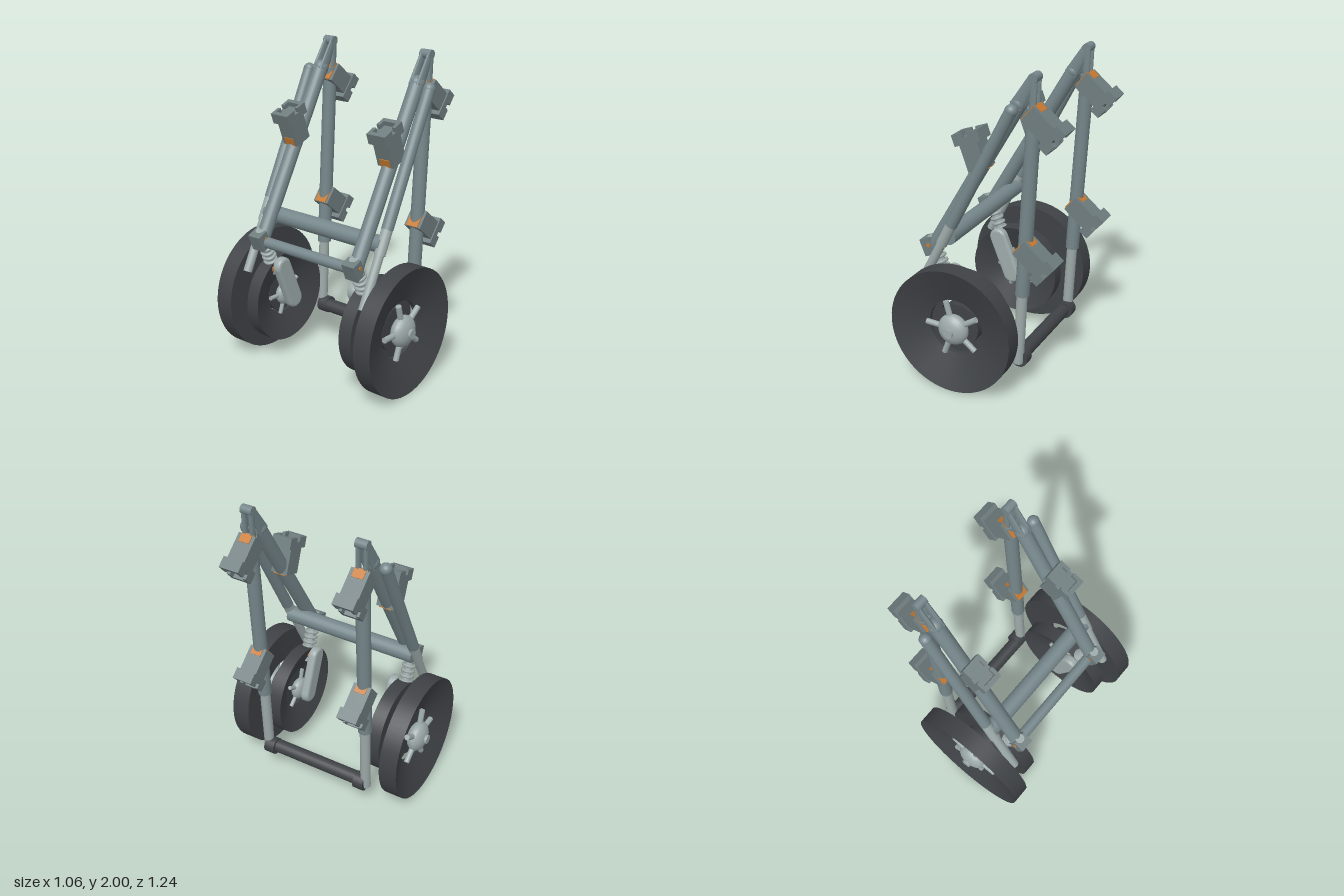
import * as THREE from 'three';

const mat = (name, color) => {
  const m = new THREE.MeshStandardMaterial({ color });
  m.name = name;
  return m;
};

export function createModel() {
  const model = new THREE.Group();
  model.name = 'landingGear';
  const steel = mat('steel', 0x75868a);
  const plate = mat('bracketGrey', 0x6f7d7f);
  const light = mat('lightMetal', 0x9ca9a8);
  const dark = mat('darkRubber', 0x3f4246);
  const orange = mat('orange', 0xc87a30);

  const add = (parent, name, geo, material, x = 0, y = 0, z = 0) => {
    const m = new THREE.Mesh(geo, material);
    m.name = name;
    m.position.set(x, y, z);
    parent.add(m);
    return m;
  };
  // cylinder between two points
  const rod = (parent, name, a, b, r, material, r2 = r) => {
    const p = new THREE.Vector3(...a), q = new THREE.Vector3(...b);
    const d = q.clone().sub(p);
    const m = add(parent, name, new THREE.CylinderGeometry(r2, r, d.length(), 20), material);
    m.position.copy(p).add(q).multiplyScalar(0.5);
    m.quaternion.setFromUnitVectors(new THREE.Vector3(0, 1, 0), d.normalize());
    return m;
  };
  const ball = (parent, name, x, y, z, r, material) =>
    add(parent, name, new THREE.SphereGeometry(r, 20, 14), material, x, y, z);

  // actuator bracket: block with an open, notched socket at its outer end
  const bracket = (parent, name, x, y, z, angle) => {
    const g = new THREE.Group();
    g.name = name;
    g.position.set(x, y, z);
    g.rotation.z = angle;
    add(g, 'bracketBody', new THREE.BoxGeometry(0.165, 0.12, 0.115), plate, 0.083);
    add(g, 'socketBase', new THREE.BoxGeometry(0.04, 0.175, 0.13), plate, 0.185);
    for (const e of [-1, 1]) {
      add(g, 'socketEnd', new THREE.BoxGeometry(0.03, 0.03, 0.13), plate, 0.219, e * 0.0725, 0);
      for (const f of [-1, 1])
        add(g, 'socketSide', new THREE.BoxGeometry(0.03, 0.044, 0.022), plate, 0.219, e * 0.038, f * 0.054);
    }
    add(g, 'orangeEdge', new THREE.BoxGeometry(0.05, 0.009, 0.07), orange, 0.027, 0.06, 0);
    add(g, 'orangeEnd', new THREE.BoxGeometry(0.009, 0.115, 0.08), orange, -0.002, 0, 0);
    parent.add(g);
  };

  // dished wheel with hub and five spokes; d is the z direction it faces
  const makeWheel = (parent, name, x, y, z, d, scale) => {
    const g = new THREE.Group();
    g.name = name;
    g.position.set(x, y, z);
    g.rotation.x = d * Math.PI / 2;
    g.scale.setScalar(scale);
    parent.add(g);
    const ring = [[0.18, 0.008], [0.403, 0], [0.403, 0.118], [0.18, 0.035], [0.18, 0.008]];
    for (let i = 0; i < 4; i++) {
      const face = ring.slice(i, i + 2).map(p => new THREE.Vector2(...p));
      add(g, 'tyreFace', new THREE.LatheGeometry(face, 64), dark);
    }
    ball(g, 'hub', 0, 0.062, 0, 0.1, light).scale.y = 0.6;
    add(g, 'axle', new THREE.CylinderGeometry(0.03, 0.03, 0.2, 20), light, 0, 0.034, 0);
    for (let i = 0; i < 5; i++) {
      const a = 0.58 - i * Math.PI * 0.4;
      const c = Math.cos(a), n = -d * Math.sin(a);
      rod(g, 'spoke', [c * 0.07, 0.06, n * 0.07], [c * 0.185, 0.06, n * 0.185], 0.018, light);
    }
  };

  for (const s of [1, -1]) {
    const side = new THREE.Group();
    side.name = s > 0 ? 'frontSide' : 'backSide';
    model.add(side);
    const zi = 0.365 * s, zo = 0.455 * s;

    // upright: thick sleeve, thin lower leg and foot
    rod(side, 'uprightSleeve', [0.24, 0.64, zi], [0.31, 1.8, zi], 0.043, steel);
    rod(side, 'uprightLeg', [0.215, 0.17, zi], [0.24, 0.66, zi], 0.033, light);
    rod(side, 'foot', [0.22, 0.195, 0.3 * s], [0.22, 0.195, 0.37 * s], 0.055, dark);

    // forked joint at the top
    for (const e of [-1, 1]) {
      const z = zi + e * 0.025;
      rod(side, 'uprightFork', [0.31, 1.78, z], [0.317, 1.97, z], 0.022, steel).scale.z = 0.6;
      rod(side, 'diagonalFork', [0.21, 1.8, z], [0.308, 1.968, z], 0.042, steel, 0.028).scale.z = 0.4;
    }
    rod(side, 'topPin', [0.313, 1.972, zi - 0.037], [0.313, 1.972, zi + 0.037], 0.028, steel);

    // inner diagonal
    rod(side, 'innerDiagonal', [-0.37, 0.81, zi], [0.22, 1.815, zi], 0.045, steel);
    ball(side, 'diagonalEnd', 0.22, 1.815, zi, 0.047, steel);

    // outer diagonal with thin piston
    rod(side, 'outerDiagonal', [-0.18, 1.04, zo], [0.213, 1.795, zo], 0.036, steel);
    ball(side, 'outerDiagonalEnd', 0.213, 1.795, zo, 0.037, steel);
    rod(side, 'outerPiston', [-0.405, 0.61, zo], [-0.17, 1.06, zo], 0.028, light);
    rod(side, 'outerCollar', [-0.25, 0.905, zo], [-0.18, 1.04, zo], 0.034, light);

    // brackets
    bracket(side, 'upperBracket', 0.29, 1.78, zi, -0.7);
    bracket(side, 'lowerBracket', 0.24, 0.97, zi, -0.7);
    bracket(side, 'diagonalBracket', -0.02, 1.395, zi, 1.92);

    // rear clevis
    const clevis = add(side, 'clevis', new THREE.BoxGeometry(0.075, 0.11, 0.09), plate, -0.38, 0.835, zi);
    clevis.rotation.z = 0.38;
    add(side, 'clevisPin', new THREE.CylinderGeometry(0.012, 0.012, 0.1, 12), orange, -0.372, 0.85, zi)
      .rotation.x = Math.PI / 2;

    // shock absorber with coils
    const shock = rod(side, 'shockRod', [-0.375, 0.9, zi], [-0.25, 0.58, zi], 0.028, light);
    for (let i = 0; i < 5; i++) {
      const coil = add(shock, 'coil', new THREE.TorusGeometry(0.036, 0.011, 8, 20), light, 0, i * 0.035 - 0.07, 0);
      coil.rotation.x = Math.PI / 2;
    }
    add(shock, 'shockPad', new THREE.BoxGeometry(0.08, 0.03, 0.08), orange, 0, 0.11, 0);

    // rounded link between shock and axle
    const h = Math.hypot(0.1, 0.25), r = 0.06;
    const shape = new THREE.Shape();
    shape.absarc(0, 0, r, Math.PI, 2 * Math.PI);
    shape.absarc(0, h, r, 0, Math.PI);
    const link = add(side, 'wheelLink', new THREE.ExtrudeGeometry(shape, {
      depth: 0.02, bevelSize: 0.02, bevelThickness: 0.02, bevelOffset: -0.02, bevelSegments: 4, curveSegments: 14,
    }), light, -0.16, 0.39, 0.295 * s - 0.01);
    link.rotation.z = Math.atan2(0.1, 0.25);

    // large outer wheel, smaller inner wheel and the drum between them
    makeWheel(side, 'outerWheel', -0.13, 0.403, 0.485 * s, s, 1);
    makeWheel(side, 'innerWheel', -0.16, 0.403, 0.411 * s, -s, 0.75);
    rod(side, 'brakeDrum', [-0.13, 0.403, 0.4 * s], [-0.13, 0.403, 0.495 * s], 0.14, dark);
  }

  // cross members
  rod(model, 'mainCrossbar', [-0.21, 0.955, -0.45], [-0.21, 0.955, 0.45], 0.052, steel);
  rod(model, 'rearCrossbar', [-0.36, 0.825, -0.36], [-0.36, 0.825, 0.36], 0.034, steel);
  rod(model, 'footCrossbar', [0.21, 0.195, -0.32], [0.21, 0.195, 0.32], 0.044, dark);
  return model;
}
